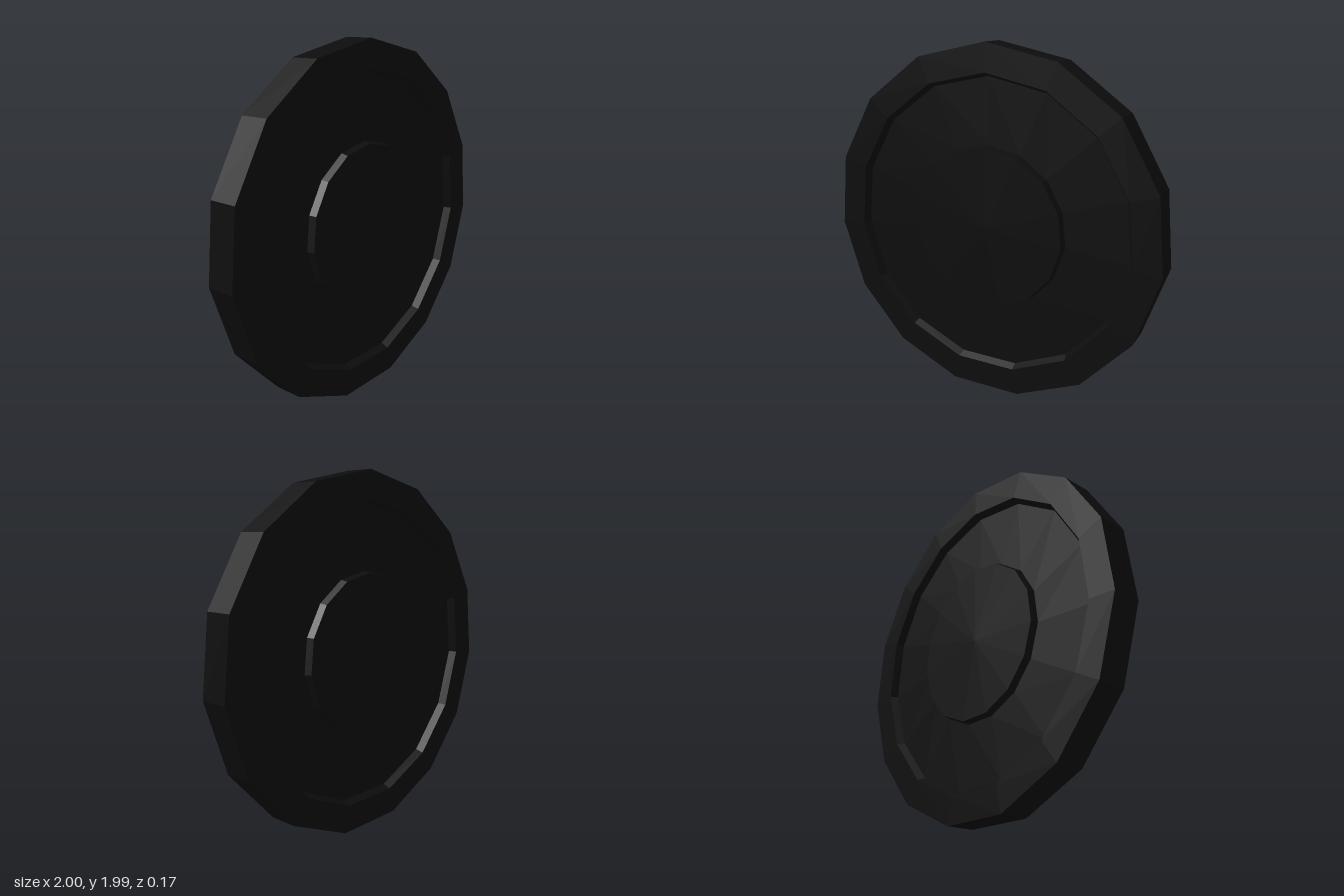
import * as THREE from 'three';

export function createModel() {
  const group = new THREE.Group();
  group.name = 'disc';
  const black = new THREE.MeshStandardMaterial({ color: 0x0d0d0d });
  black.name = 'matte black';

  const sides = 15;
  const radius = 1.0055;
  const centreY = radius * Math.cos(Math.PI / sides);

  // Radius and half thickness, from the hub centre out to the tread
  const half = [
    [0, 0.08], [0.455, 0.08], [0.465, 0.04],
    [0.83, 0.04], [0.85, 0.083], [radius, 0.083],
  ];

  // Faceted ring turned about z, with a corner at the top
  function turned(name, profile) {
    const points = profile.map(([r, z]) => new THREE.Vector2(r, z));
    const geometry = new THREE.LatheGeometry(points, sides).toNonIndexed();
    geometry.rotateX(-Math.PI / 2);
    geometry.computeVertexNormals();
    const mesh = new THREE.Mesh(geometry, black);
    mesh.name = name;
    mesh.position.y = centreY;
    group.add(mesh);
  }

  // Both faces carry a raised hub, a sunken web and a raised rim
  const under = half.map(([r, z]) => [r, -z]);
  const over = [...half].reverse();
  turned('hubAndWebBack', under.slice(0, 4));
  turned('rim', [...under.slice(3), ...over.slice(0, 3)]);
  turned('hubAndWebFront', over.slice(2));

  return group;
}
